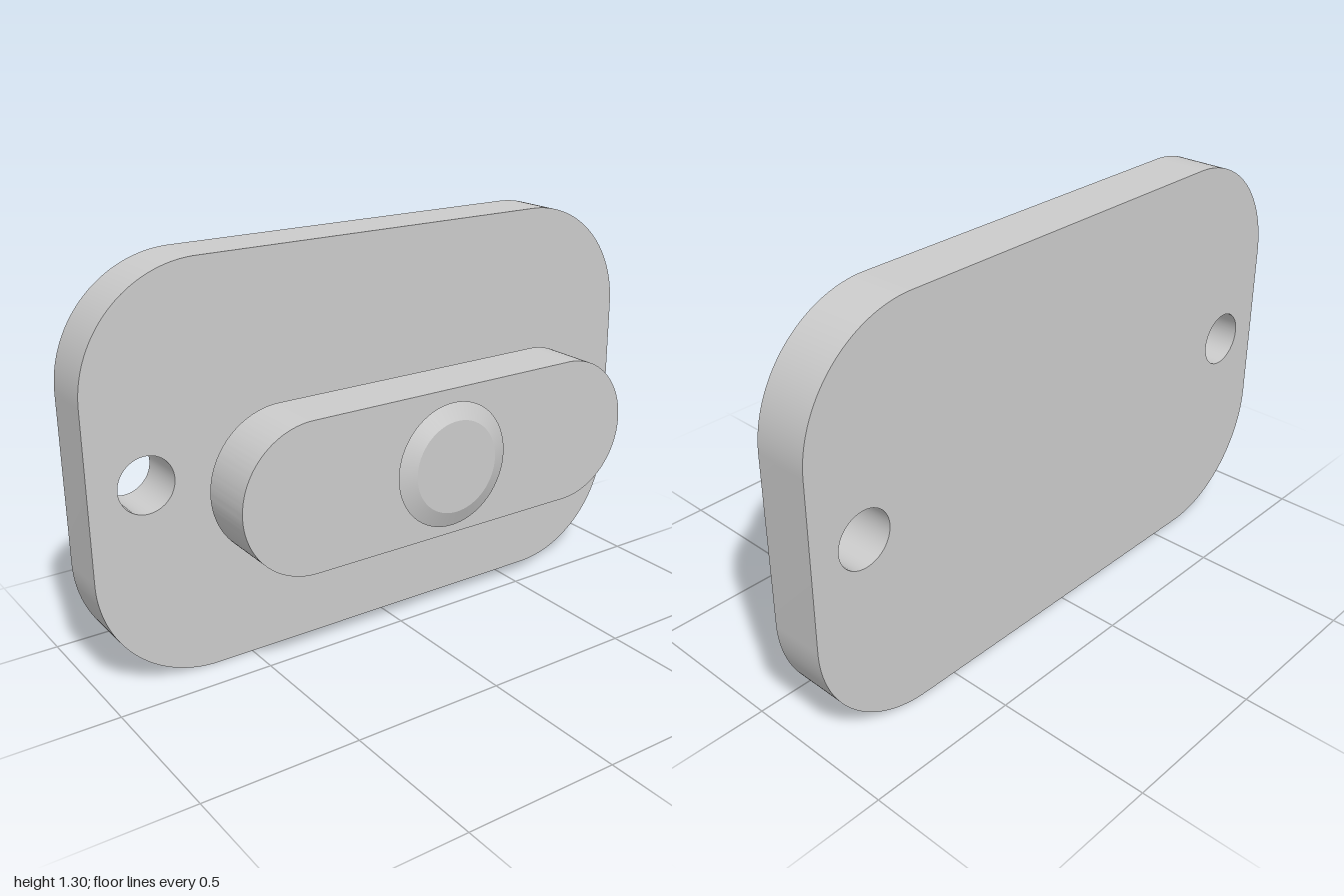
import * as THREE from 'three';
import { toCreasedNormals } from 'three/addons/utils/BufferGeometryUtils.js';

const MID_Y = 0.648;

// Rectangle with rounded corners, centred on the origin
function roundedRect(halfW, halfH, r) {
  const s = new THREE.Shape();
  s.absarc(halfW - r, halfH - r, r, 0, Math.PI / 2);
  s.absarc(-halfW + r, halfH - r, r, Math.PI / 2, Math.PI);
  s.absarc(-halfW + r, -halfH + r, r, Math.PI, Math.PI * 1.5);
  s.absarc(halfW - r, -halfH + r, r, Math.PI * 1.5, Math.PI * 2);
  s.closePath();
  return s;
}

export function createModel() {
  const group = new THREE.Group();
  const material = new THREE.MeshStandardMaterial({ color: 0xcccccc });

  function add(name, geometry) {
    const mesh = new THREE.Mesh(toCreasedNormals(geometry, 0.4), material);
    mesh.name = name;
    mesh.position.y = MID_Y;
    group.add(mesh);
  }

  // Extrude a shape between two depths
  function slab(name, shape, z0, z1) {
    const geometry = new THREE.ExtrudeGeometry(shape, { depth: z1 - z0, bevelEnabled: false, curveSegments: 24 });
    add(name, geometry.translate(0, 0, z0));
  }

  // Turn a profile of [radius, z] pairs around the z axis
  function turned(name, profile) {
    const points = profile.map(([r, z]) => new THREE.Vector2(r, z));
    add(name, new THREE.LatheGeometry(points, 64).rotateX(Math.PI / 2));
  }

  // Back plate with a screw hole on each side
  const plate = roundedRect(1, MID_Y, 0.38);
  for (const side of [-1, 1]) {
    plate.holes.push(new THREE.Path().absarc(side * 0.818, 0, 0.09, 0, Math.PI * 2, true));
  }
  slab('backPlate', plate, -0.29, -0.115);

  // Turning bar with fully rounded ends
  slab('turnBar', roundedRect(0.705, 0.234, 0.2339), 0.063, 0.25);

  // Post with a wider collar behind the bar
  turned('post', [[0.146, -0.115], [0.146, 0.017], [0.163, 0.017], [0.163, 0.063]]);

  // Bevelled pin head on the front of the bar
  turned('pinHead', [[0.176, 0.25], [0.198, 0.268], [0.146, 0.29], [0, 0.29]]);

  return group;
}
